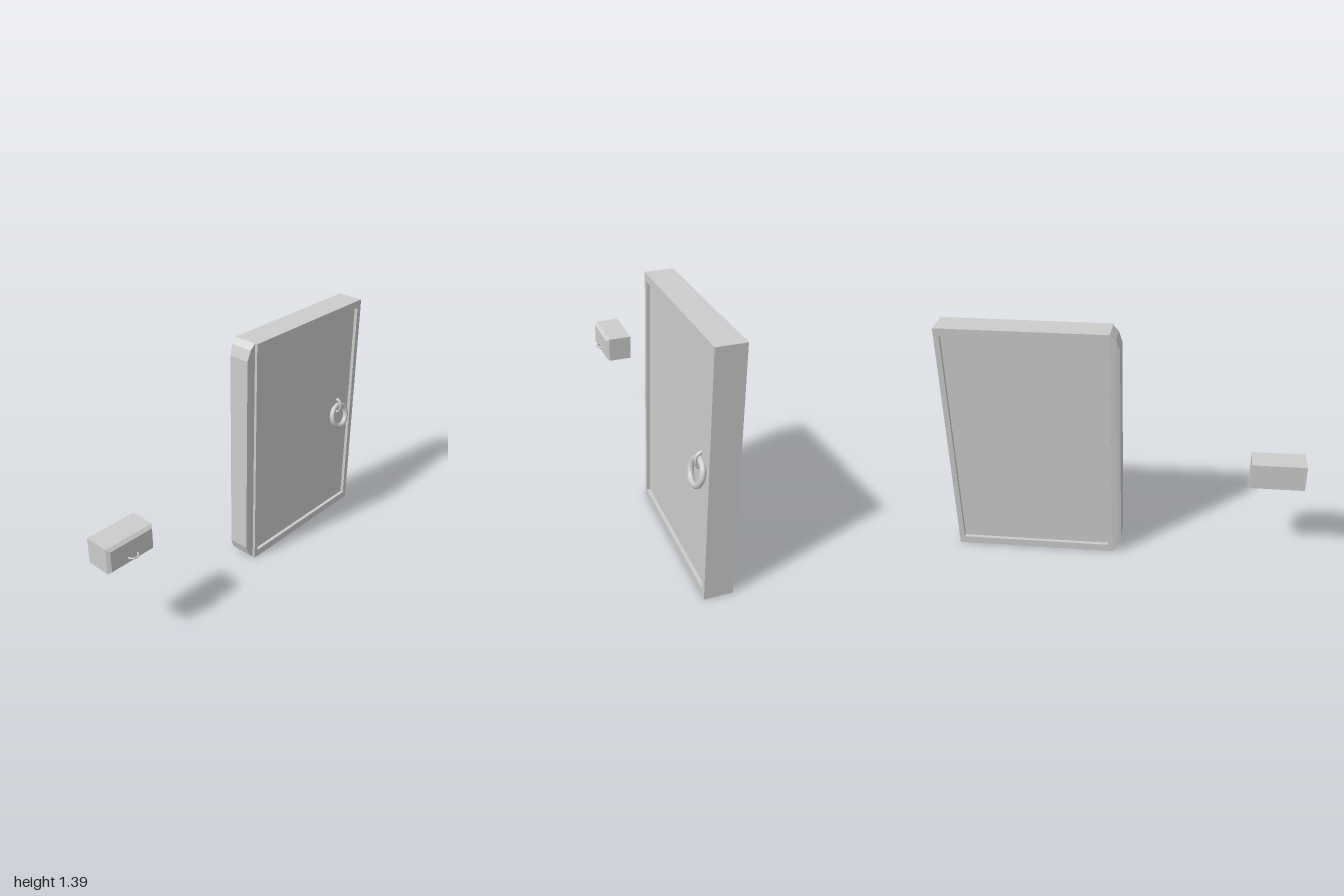
import * as THREE from 'three';

const mat = new THREE.MeshStandardMaterial({ color: 0xcccccc });
const flat = new THREE.MeshStandardMaterial({ color: 0xcccccc, flatShading: true });

function add(parent, name, geometry, material, x = 0, y = 0, z = 0) {
  const mesh = new THREE.Mesh(geometry, material);
  mesh.name = name;
  mesh.position.set(x, y, z);
  parent.add(mesh);
  return mesh;
}

// Closed solid through rectangular sections [z, x0, x1, y0, y1] running toward +z
function loftRects(sections) {
  const pos = [], index = [];
  for (const [z, x0, x1, y0, y1] of sections)
    pos.push(x0, y0, z, x1, y0, z, x1, y1, z, x0, y1, z);
  for (let i = 0; i < sections.length - 1; i++) {
    for (let j = 0; j < 4; j++) {
      const a = i * 4 + j, b = i * 4 + (j + 1) % 4;
      index.push(a, b, b + 4, a, b + 4, a + 4);
    }
  }
  const e = (sections.length - 1) * 4;
  index.push(0, 2, 1, 0, 3, 2, e, e + 1, e + 2, e, e + 2, e + 3);
  const g = new THREE.BufferGeometry();
  g.setAttribute('position', new THREE.Float32BufferAttribute(pos, 3));
  g.setIndex(index);
  const out = g.toNonIndexed();
  out.computeVertexNormals();
  return out;
}

function rectPath(path, x0, y0, x1, y1) {
  path.moveTo(x0, y0);
  path.lineTo(x1, y0);
  path.lineTo(x1, y1);
  path.lineTo(x0, y1);
  path.closePath();
  return path;
}

export function createModel() {
  const model = new THREE.Group();

  // Door: frame around a panel recessed on both sides
  const door = new THREE.Group();
  door.name = 'door';
  model.add(door);
  const outline = rectPath(new THREE.Shape(), 0.075, 0, 1, 1.39);
  outline.holes.push(rectPath(new THREE.Path(), 0.1, 0.045, 0.97, 1.345));
  const frame = new THREE.ExtrudeGeometry(outline, { depth: 0.155, bevelEnabled: false });
  frame.rotateY(Math.PI / 2);
  add(door, 'doorFrame', frame, flat, -0.095);
  add(door, 'doorPanel', new THREE.BoxGeometry(0.115, 1.3, 0.87), flat, -0.0175, 0.695, -0.535);

  // Chamfered strip along the hinge edge
  add(door, 'hingeEdge', loftRects([
    [-0.075, -0.094, 0.044, 0, 1.39],
    [-0.045, -0.09, 0.041, 0.032, 1.358],
    [-0.025, -0.085, 0.037, 0.09, 1.3],
  ]), flat);

  // Pull ring hanging from a staple
  const ring = new THREE.TorusGeometry(0.067, 0.016, 12, 32);
  ring.rotateY(Math.PI / 2);
  add(door, 'pullRing', ring, mat, 0.062, 0.675, -0.855).rotation.z = 0.24;
  const staple = new THREE.TorusGeometry(0.042, 0.01, 10, 16, Math.PI);
  staple.rotateZ(-Math.PI / 2);
  staple.scale(0.75, 1, 1);
  add(door, 'ringStaple', staple, mat, 0.039, 0.737, -0.855);

  // Drawer with a bevelled front facing +x
  const drawer = new THREE.Group();
  drawer.name = 'drawer';
  model.add(drawer);
  const box = loftRects([
    [-0.095, -0.15, 0.15, -0.075, 0.075],
    [0.045, -0.15, 0.15, -0.075, 0.075],
    [0.063, -0.135, 0.135, -0.06, 0.06],
  ]);
  box.rotateY(Math.PI / 2);
  add(drawer, 'drawerBox', box, flat, 0, 0.58, 0.85);
  const handle = new THREE.TorusGeometry(0.029, 0.005, 8, 16, Math.PI);
  handle.rotateZ(-Math.PI / 2);
  handle.rotateX(Math.PI / 2);
  add(drawer, 'drawerHandle', handle, mat, 0.059, 0.547, 0.848);

  return model;
}
